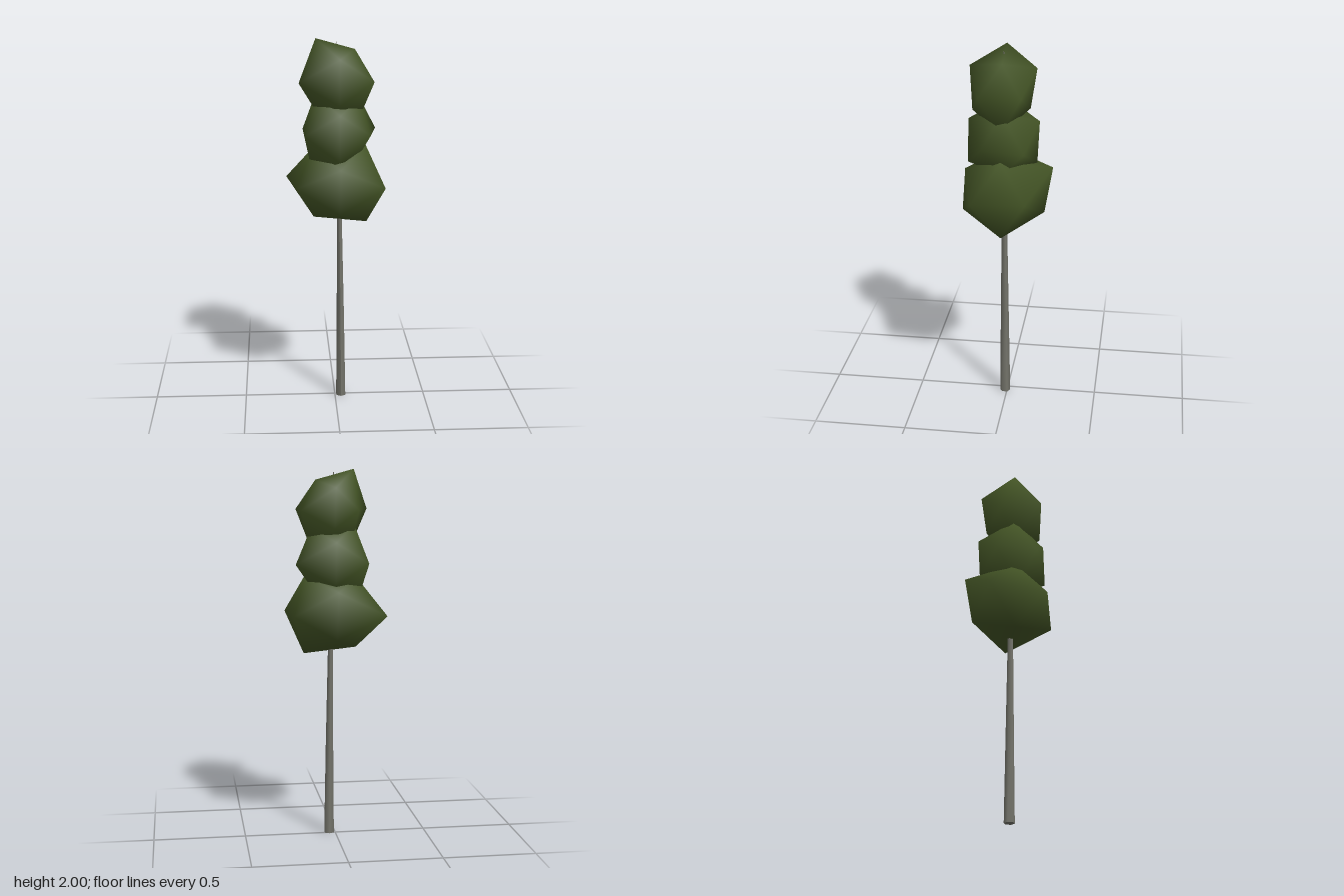
import * as THREE from 'three';
import { mergeVertices } from 'three/addons/utils/BufferGeometryUtils.js';

const foliageGreen = new THREE.MeshStandardMaterial({ color: 0x435425 });
foliageGreen.name = 'foliageGreen';
const barkGrey = new THREE.MeshStandardMaterial({ color: 0x73736a });
barkGrey.name = 'barkGrey';

// Icosahedron corner directions, in the order the radii below are listed
const T = (1 + Math.sqrt(5)) / 2;
const CORNERS = [
  [-1, T, 0], [1, T, 0], [-1, -T, 0], [1, -T, 0],
  [0, -1, T], [0, 1, T], [0, -1, -T], [0, 1, -T],
  [T, 0, -1], [T, 0, 1], [-T, 0, -1], [-T, 0, 1],
].map((c) => new THREE.Vector3(...c).normalize());

// Smooth lumpy clump: each icosahedron corner gets its own radius
function clump(name, y, stretch, radii) {
  let geo = new THREE.IcosahedronGeometry(1, 0);
  geo.deleteAttribute('normal');
  geo.deleteAttribute('uv');
  geo = mergeVertices(geo, 1e-3);
  const pos = geo.attributes.position;
  const v = new THREE.Vector3();
  for (let i = 0; i < pos.count; i++) {
    v.fromBufferAttribute(pos, i);
    const k = CORNERS.findIndex((c) => c.dot(v) > 0.95);
    v.multiplyScalar(radii[k]);
    pos.setXYZ(i, v.x, v.y * stretch, v.z);
  }
  geo.computeVertexNormals();
  const mesh = new THREE.Mesh(geo, foliageGreen);
  mesh.name = name;
  mesh.position.set(0.017, y, 0.017);
  return mesh;
}

// Thin tapering trunk with a slight lean, reaching the tree tip
function trunk() {
  const height = 1.985;
  const geo = new THREE.CylinderGeometry(0.002, 0.029, height, 6, 4);
  geo.translate(0, height / 2, 0);
  const pos = geo.attributes.position;
  for (let i = 0; i < pos.count; i++) {
    const t = pos.getY(i) / height;
    pos.setX(i, pos.getX(i) + 0.033 - 0.008 * t - 0.019 * t * t);
    pos.setZ(i, pos.getZ(i) + 0.011 + 0.009 * t);
  }
  geo.computeVertexNormals();
  const mesh = new THREE.Mesh(geo, barkGrey);
  mesh.name = 'trunk';
  return mesh;
}

export function createModel() {
  const tree = new THREE.Group();
  tree.name = 'tree';
  tree.add(
    trunk(),
    clump('lowerFoliage', 1.23, 0.875,
      [0.259, 0.278, 0.251, 0.291, 0.267, 0.247, 0.255, 0.306, 0.256, 0.285, 0.325, 0.267]),
    clump('middleFoliage', 1.505, 1.02,
      [0.233, 0.213, 0.26, 0.18, 0.229, 0.222, 0.207, 0.22, 0.244, 0.195, 0.219, 0.215]),
    clump('topFoliage', 1.787, 1.12,
      [0.226, 0.166, 0.199, 0.214, 0.197, 0.21, 0.163, 0.202, 0.206, 0.214, 0.16, 0.248]),
  );
  return tree;
}
